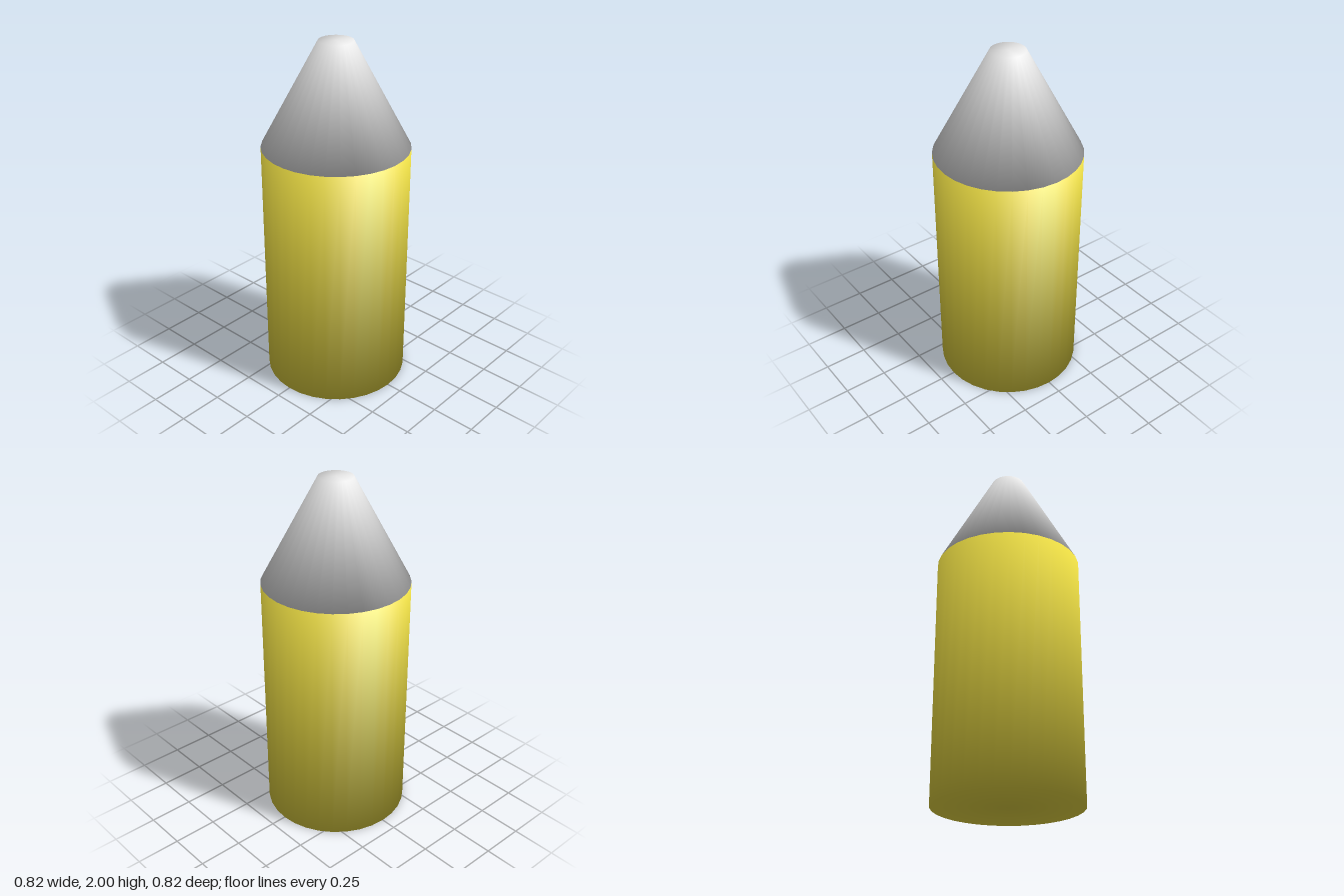
import * as THREE from 'three';

const SIDES = 32;

// Closed frustum whose rim normals blend the wall and the cap, so it shades softly
function softFrustum(rTop, rBottom, y0, y1) {
  const h = y1 - y0;
  const geo = new THREE.CylinderGeometry(rTop, rBottom, h, SIDES);
  const pos = geo.attributes.position;
  const nor = geo.attributes.normal;
  const slope = (rBottom - rTop) / h;
  const n = new THREE.Vector3();
  for (let i = 0; i < pos.count; i++) {
    const x = pos.getX(i), z = pos.getZ(i);
    const cap = Math.sign(pos.getY(i));
    if (Math.hypot(x, z) < 1e-6) n.set(0, cap, 0);
    else {
      const r = Math.hypot(x, z);
      n.set(x / r, slope, z / r).normalize();
      n.y += cap;
      n.normalize();
    }
    nor.setXYZ(i, n.x, n.y, n.z);
  }
  return geo.translate(0, y0 + h / 2, 0);
}

export function createModel() {
  const group = new THREE.Group();
  group.name = 'cartridge';

  const yellow = new THREE.MeshStandardMaterial({ color: 0xe7d842 });
  yellow.name = 'yellow';
  const paleGrey = new THREE.MeshStandardMaterial({ color: 0xe7e7e7 });
  paleGrey.name = 'pale grey';

  // Straight casing
  const casing = new THREE.Mesh(softFrustum(0.41, 0.41, 0, 1.415), yellow);
  casing.name = 'casing';

  // Blunt conical tip
  const tip = new THREE.Mesh(softFrustum(0.095, 0.41, 1.415, 2), paleGrey);
  tip.name = 'tip';

  group.add(casing, tip);
  return group;
}
